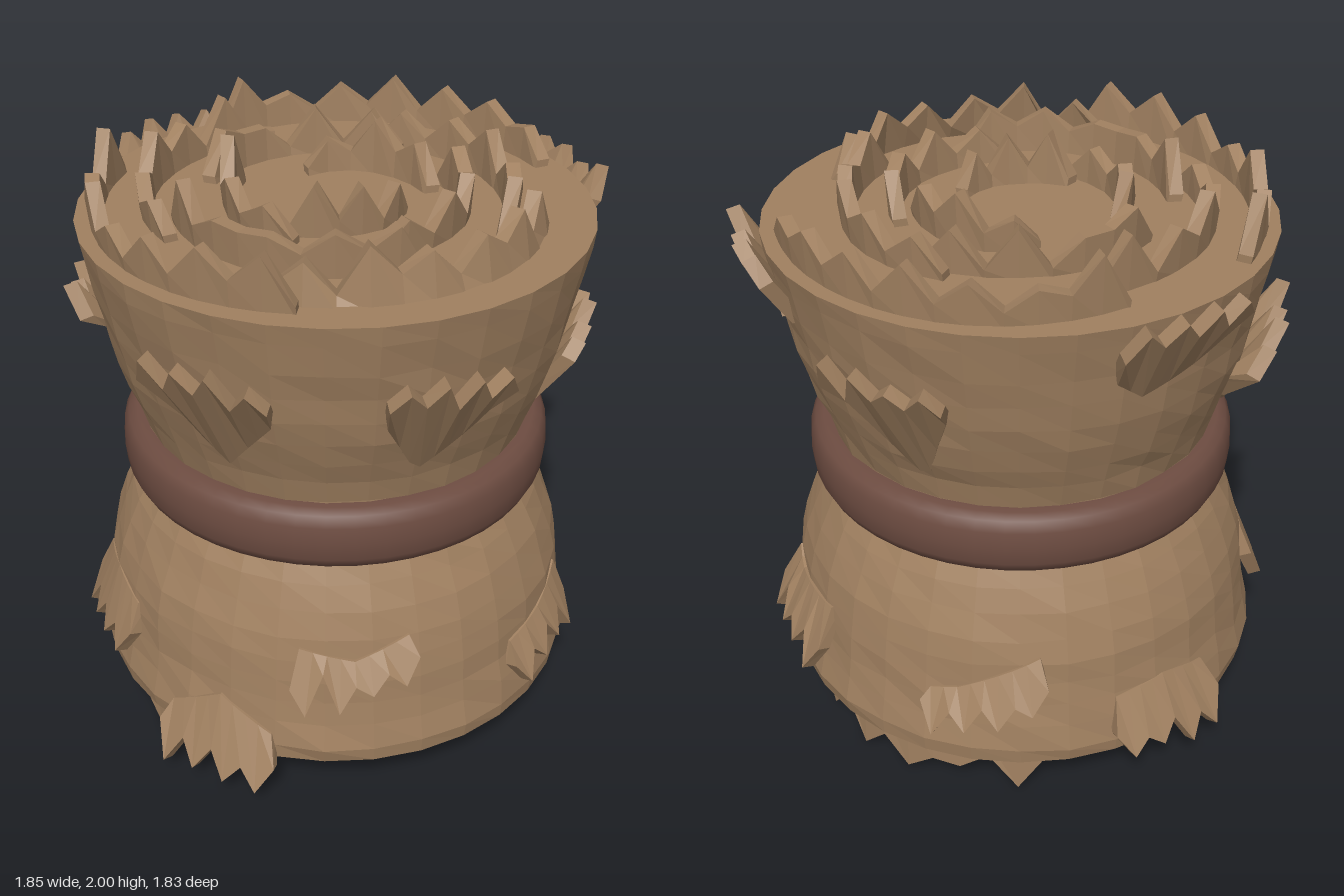
import * as THREE from 'three';

const straw = new THREE.MeshStandardMaterial({ color: 0xa08060 });
straw.name = 'straw';
const bandBrown = new THREE.MeshStandardMaterial({ color: 0x6d4c41 });
bandBrown.name = 'bandBrown';

const CENTER_Z = 0.03;
const DEG = Math.PI / 180;
const { lerp } = THREE.MathUtils;

// Repeatable noise in -1..1
const noise = (a, b = 0) => {
  const s = Math.sin(a * 127.1 + b * 311.7 + 17.3) * 43758.5453;
  return (s - Math.floor(s)) * 2 - 1;
};

// Waisted outline of the bale: [radius, height]
const PROFILE = [
  [0.835, 0.18], [0.845, 0.235], [0.825, 0.33], [0.812, 0.41], [0.803, 0.49], [0.797, 0.57], [0.777, 0.65],
  [0.745, 0.74], [0.71, 0.82], [0.675, 0.89], [0.65, 0.99], [0.655, 1.1], [0.68, 1.19], [0.71, 1.27],
  [0.74, 1.36], [0.763, 1.45], [0.778, 1.54], [0.797, 1.63], [0.82, 1.74], [0.83, 1.805],
];

function radiusAt(y) {
  for (let i = 1; i < PROFILE.length; i++) {
    const [r0, y0] = PROFILE[i - 1], [r1, y1] = PROFILE[i];
    if (y <= y1) return lerp(r0, r1, Math.max(0, (y - y0) / (y1 - y0)));
  }
  return 0.83;
}

function flat(geometry) {
  const g = geometry.index ? geometry.toNonIndexed() : geometry;
  g.computeVertexNormals();
  return g;
}

function makeMesh(name, geometry, material) {
  const mesh = new THREE.Mesh(geometry, material);
  mesh.name = name;
  return mesh;
}

// Slightly uneven, faceted straw body
function bodyGeometry() {
  const segments = 32;
  const pts = [[0, 0.18], ...PROFILE, [0, 1.805]].map(([r, y]) => new THREE.Vector2(r, y));
  const g = new THREE.LatheGeometry(pts, segments);
  const p = g.attributes.position;
  for (let i = 0; i <= segments; i++) {
    for (let j = 2; j < pts.length - 2; j++) {
      const k = i * pts.length + j, c = i % segments;
      const s = 1 + 0.006 * noise(c, j);
      p.setXYZ(k, p.getX(k) * s, p.getY(k) + 0.005 * noise(c + 50, j), p.getZ(k) * s);
    }
  }
  return flat(g);
}

// Thick jagged sheet: each column holds four corners [angle, radius, y],
// ordered inner base, outer base, outer tip, inner tip
function ribbonGeometry(columns) {
  const pos = [];
  const v = ([a, r, y]) => [r * Math.cos(a), y, r * Math.sin(a)];
  const quad = (a, b, c, d) => {
    for (const q of [a, b, c, a, c, d]) pos.push(...v(q));
  };
  for (let i = 0; i < columns.length - 1; i++) {
    const A = columns[i], B = columns[i + 1];
    for (let k = 0; k < 4; k++) quad(A[k], A[(k + 1) % 4], B[(k + 1) % 4], B[k]);
  }
  const first = columns[0], last = columns[columns.length - 1];
  quad(first[3], first[2], first[1], first[0]);
  quad(last[0], last[1], last[2], last[3]);
  const g = new THREE.BufferGeometry();
  g.setAttribute('position', new THREE.Float32BufferAttribute(pos, 3));
  return flat(g);
}

// Rolled layer standing on the end of the bale, with a saw-toothed rim and low ends
function layerGeometry([a0, a1, r0, rMid, r1, lean = 0.008], seed) {
  const n = Math.max(6, Math.round(((a1 - a0) * DEG * rMid) / 0.095));
  const columns = [];
  for (let i = 0; i <= n; i++) {
    const t = i / n;
    const a = (a0 + (a1 - a0) * t) * DEG;
    const r = lerp(t < 0.5 ? r0 : r1, rMid, Math.sin(t * Math.PI));
    const end = i === 0 || i === n;
    const tip = end ? 1.83 : (i % 2 ? 1.955 : 1.875) + 0.045 * noise(i, seed);
    const tipR = r + lean;
    columns.push([[a, r - 0.023, 1.79], [a, r + 0.023, 1.79], [a, tipR + 0.023, tip], [a, tipR - 0.023, tip]]);
  }
  return ribbonGeometry(columns);
}

// Frayed tuft peeling away from the side; its root dips to a point between two corner heights,
// and its longer teeth reach further out
function tuftGeometry(angle, [yStart, dip, yDip, yEnd], tipY, tipR, lean, bodyRadius, seed) {
  const n = 8, columns = [];
  for (let i = 0; i <= n; i++) {
    const u = (i / n) * 2 - 1;
    const baseY = u < dip ? lerp(yStart, yDip, (u + 1) / (dip + 1)) : lerp(yDip, yEnd, (u - dip) / (1.001 - dip));
    const baseR = bodyRadius(baseY);
    const tipA = (angle + u * 14.5) * DEG;
    const baseA = (angle + u * 13) * DEG;
    const tooth = (i % 2 ? 0.045 : -0.035) + 0.03 * noise(i, seed);
    const y = tipY + tooth + lean * u;
    const r = tipR + 0.4 * tooth;
    columns.push([[baseA, baseR - 0.05, baseY], [baseA, baseR + 0.004, baseY], [tipA, r, y], [tipA, r - 0.045, y + 0.015]]);
  }
  return ribbonGeometry(columns);
}

// Rolled layers: start angle, end angle, start, middle and end radius, optional lean
const LAYERS = [
  [-82, 19, 0.7, 0.755, 0.755], [54, 156, 0.66, 0.69, 0.69, -0.03], [141, 243, 0.73, 0.755, 0.765],
  [193, 292, 0.57, 0.61, 0.62], [101, 207, 0.49, 0.51, 0.5], [15, 116, 0.39, 0.41, 0.415], [-32, 70, 0.52, 0.55, 0.57],
  [244, 340, 0.44, 0.45, 0.48], [154, 255, 0.32, 0.33, 0.37], [62, 164, 0.21, 0.22, 0.26], [-69, 27, 0.26, 0.305, 0.32],
];

// Tufts: angle, root [start height, dip position, dip height, end height], tip height, tip radius, lean
const UPPER_TUFTS = [
  [108, [1.4, 0.35, 1.22, 1.42], 1.57, 0.875, 0], [52, [1.38, 0.95, 1.23, 1.24], 1.43, 0.83, 0],
  [18, [1.6, -0.8, 1.59, 1.62], 1.79, 0.91, 0], [-27, [1.46, -0.4, 1.19, 1.46], 1.57, 0.88, 0],
  [-90, [1.62, 0.5, 1.53, 1.6], 1.77, 0.91, 0], [-133, [1.42, 0.6, 1.23, 1.36], 1.47, 0.86, -0.04],
  [160, [1.42, 0, 1.22, 1.42], 1.58, 0.89, 0],
];
// Lower tufts are listed in the flipped end's frame (angle 180 - a, height 2 - y)
const LOWER_TUFTS = [
  [52, [1.38, 0, 1.42, 1.35], 1.49, 0.855, -0.02], [107, [1.54, 0, 1.51, 1.44], 1.63, 0.87, 0],
  [170, [1.43, -0.6, 1.47, 1.45], 1.61, 0.89, 0], [228, [1.55, -0.5, 1.53, 1.4], 1.58, 0.87, -0.05],
  [272, [1.6, 0, 1.58, 1.62], 1.77, 0.91, 0], [338, [1.45, 0, 1.43, 1.47], 1.62, 0.875, 0],
  [20, [1.72, 0, 1.62, 1.72], 1.84, 0.91, 0],
];

function frayedEnd(name, tufts, bodyRadius, seed) {
  const group = new THREE.Group();
  group.name = name;
  LAYERS.forEach((l, i) => group.add(makeMesh('rolledLayer', layerGeometry(l, seed + i), straw)));
  tufts.forEach((t, i) => group.add(makeMesh('strawTuft', tuftGeometry(...t, bodyRadius, seed + 20 + i), straw)));
  return group;
}

export function createModel() {
  const model = new THREE.Group();
  model.name = 'strawBale';
  const bale = new THREE.Group();
  bale.name = 'bale';
  bale.position.z = CENTER_Z;
  model.add(bale);

  bale.add(makeMesh('body', bodyGeometry(), straw));

  // Rounded binding band around the waist
  const bandProfile = [
    [0.64, 0.88], [0.68, 0.88], [0.708, 0.895], [0.725, 0.93], [0.73, 0.99],
    [0.725, 1.05], [0.708, 1.085], [0.68, 1.1], [0.64, 1.1],
  ].map(([r, y]) => new THREE.Vector2(r, y));
  bale.add(makeMesh('band', new THREE.LatheGeometry(bandProfile, 48), bandBrown));

  // Frayed top, and the same turned upside down underneath
  bale.add(frayedEnd('topEnd', UPPER_TUFTS, radiusAt, 1));
  const bottom = frayedEnd('bottomEnd', LOWER_TUFTS, (y) => radiusAt(2 - y), 40);
  bottom.rotation.z = Math.PI;
  bottom.position.y = 2;
  bale.add(bottom);

  return model;
}
